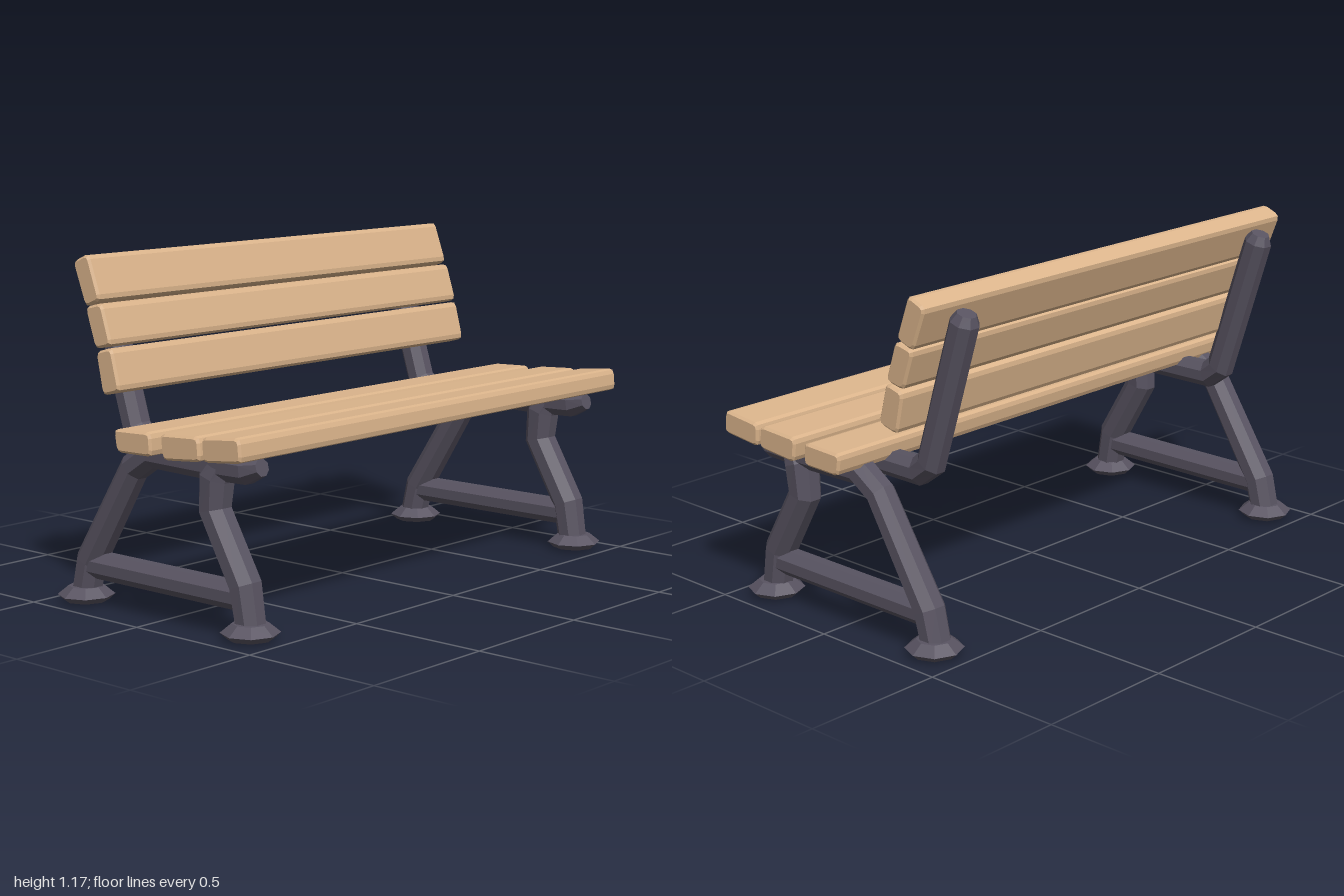
import * as THREE from 'three';

const wood = new THREE.MeshStandardMaterial({ color: 0xdcb58c });
wood.name = 'light wood';
const iron = new THREE.MeshStandardMaterial({ color: 0x585361 });
iron.name = 'dark iron';

function addMesh(parent, name, geometry, material) {
  const mesh = new THREE.Mesh(geometry, material);
  mesh.name = name;
  parent.add(mesh);
  return mesh;
}

// Non-indexed copy with one normal per facet
function faceted(geometry) {
  const g = geometry.index ? geometry.toNonIndexed() : geometry;
  g.computeVertexNormals();
  return g;
}

// Faceted bar following [z, y, radius] stations in the plane x = const
function limb(x, stations, sides = 8) {
  const at = (i) => new THREE.Vector3(x, stations[i][1], stations[i][0]);
  const last = stations.length - 1;
  const rings = stations.map(([, , r], i) => {
    const tIn = at(Math.max(i, 1)).sub(at(Math.max(i, 1) - 1)).normalize();
    const k = Math.min(i, last - 1);
    const tOut = at(k + 1).sub(at(k)).normalize();
    const t = tIn.clone().add(tOut).normalize();
    const miter = 1 / Math.max(0.75, t.dot(tIn));
    const n = new THREE.Vector3(0, t.z, -t.y);
    return Array.from({ length: sides }, (_, j) => {
      const a = ((j + 0.5) / sides) * Math.PI * 2;
      const p = at(i).addScaledVector(n, Math.sin(a) * r * miter);
      p.x += Math.cos(a) * r;
      return p;
    });
  });
  const pts = [];
  for (let j = 0; j < sides; j++) {
    const m = (j + 1) % sides;
    for (let i = 0; i < last; i++) {
      const a = rings[i][j], b = rings[i][m], c = rings[i + 1][m], d = rings[i + 1][j];
      pts.push(a, b, c, a, c, d);
    }
    pts.push(at(0), rings[0][m], rings[0][j], at(last), rings[last][j], rings[last][m]);
  }
  return faceted(new THREE.BufferGeometry().setFromPoints(pts));
}

// Plank with a four-cornered [z, y] section, softened corners and bevelled ends
function slat(corners, length) {
  const bevel = 0.008, cut = 0.02;
  const p = corners.map(([z, y]) => new THREE.Vector2(-z, y));
  const shape = new THREE.Shape();
  p.forEach((c, i) => {
    const prev = p[(i + 3) % 4], next = p[(i + 1) % 4];
    const a = c.clone().add(prev.clone().sub(c).setLength(cut));
    const b = c.clone().add(next.clone().sub(c).setLength(cut));
    if (i === 0) shape.moveTo(a.x, a.y);
    else shape.lineTo(a.x, a.y);
    shape.quadraticCurveTo(c.x, c.y, b.x, b.y);
  });
  shape.closePath();
  const g = new THREE.ExtrudeGeometry(shape, {
    depth: length - 2 * bevel, bevelEnabled: true, bevelSegments: 1,
    bevelSize: bevel, bevelThickness: bevel, bevelOffset: -bevel, curveSegments: 2,
  });
  g.translate(0, 0, bevel - length / 2);
  g.rotateY(Math.PI / 2);
  return g;
}

export function createModel() {
  const bench = new THREE.Group();
  bench.name = 'bench';

  // Seat planks, front to back
  const seat = new THREE.Group();
  seat.name = 'seat';
  bench.add(seat);
  [
    [[0.46, 0.672], [0.296, 0.656], [0.302, 0.577], [0.468, 0.593]],
    [[0.286, 0.656], [0.114, 0.647], [0.125, 0.563], [0.292, 0.577]],
    [[0.072, 0.645], [-0.097, 0.639], [-0.085, 0.564], [0.075, 0.567]],
  ].forEach((c, i) => addMesh(seat, 'seatSlat' + (i + 1), slat(c, 2), wood));

  // Backrest planks, top to bottom
  const backrest = new THREE.Group();
  backrest.name = 'backrest';
  bench.add(backrest);
  [
    [[-0.313, 1.18], [-0.387, 1.148], [-0.33, 1.002], [-0.258, 1.03]],
    [[-0.252, 1.022], [-0.332, 1.003], [-0.286, 0.868], [-0.208, 0.886]],
    [[-0.208, 0.88], [-0.284, 0.859], [-0.254, 0.717], [-0.171, 0.739]],
  ].forEach((c, i) => addMesh(backrest, 'backSlat' + (i + 1), slat(c, 1.8), wood));

  // Iron frame, one at each end
  for (const side of [-1, 1]) {
    const frame = new THREE.Group();
    frame.name = side > 0 ? 'leftFrame' : 'rightFrame';
    bench.add(frame);
    const x = side * 0.865;

    addMesh(frame, 'railAndRearLeg', limb(x, [
      [0.43, 0.56, 0.03], [0.37, 0.545, 0.048], [0.2, 0.545, 0.052], [-0.05, 0.548, 0.05],
      [-0.14, 0.49, 0.05], [-0.355, 0.15, 0.054], [-0.385, 0.03, 0.052],
    ]), iron);
    addMesh(frame, 'frontLeg', limb(x, [
      [0.27, 0.57, 0.045], [0.235, 0.51, 0.06], [0.225, 0.4, 0.055],
      [0.355, 0.175, 0.056], [0.38, 0.03, 0.052],
    ]), iron);
    addMesh(frame, 'stretcher', limb(x, [[0.36, 0.137, 0.048], [-0.36, 0.137, 0.048]]), iron);

    // Bent support running under the seat and up behind the backrest
    addMesh(frame, 'backSupport', limb(side * 0.745, [
      [0.13, 0.56, 0.03], [0.09, 0.548, 0.045], [-0.2, 0.55, 0.048], [-0.252, 0.59, 0.05],
      [-0.405, 1.08, 0.05], [-0.415, 1.11, 0.033],
    ]), iron);

    // Flared feet
    for (const z of [0.38, -0.38]) {
      const profile = [[0, 0], [0.075, 0.005], [0.097, 0.025], [0.06, 0.055], [0, 0.06]];
      const foot = addMesh(frame, z > 0 ? 'frontFoot' : 'rearFoot', faceted(
        new THREE.LatheGeometry(profile.map((q) => new THREE.Vector2(...q)), 8)), iron);
      foot.position.set(side * 0.87, 0.004, z);
    }
  }
  return bench;
}
